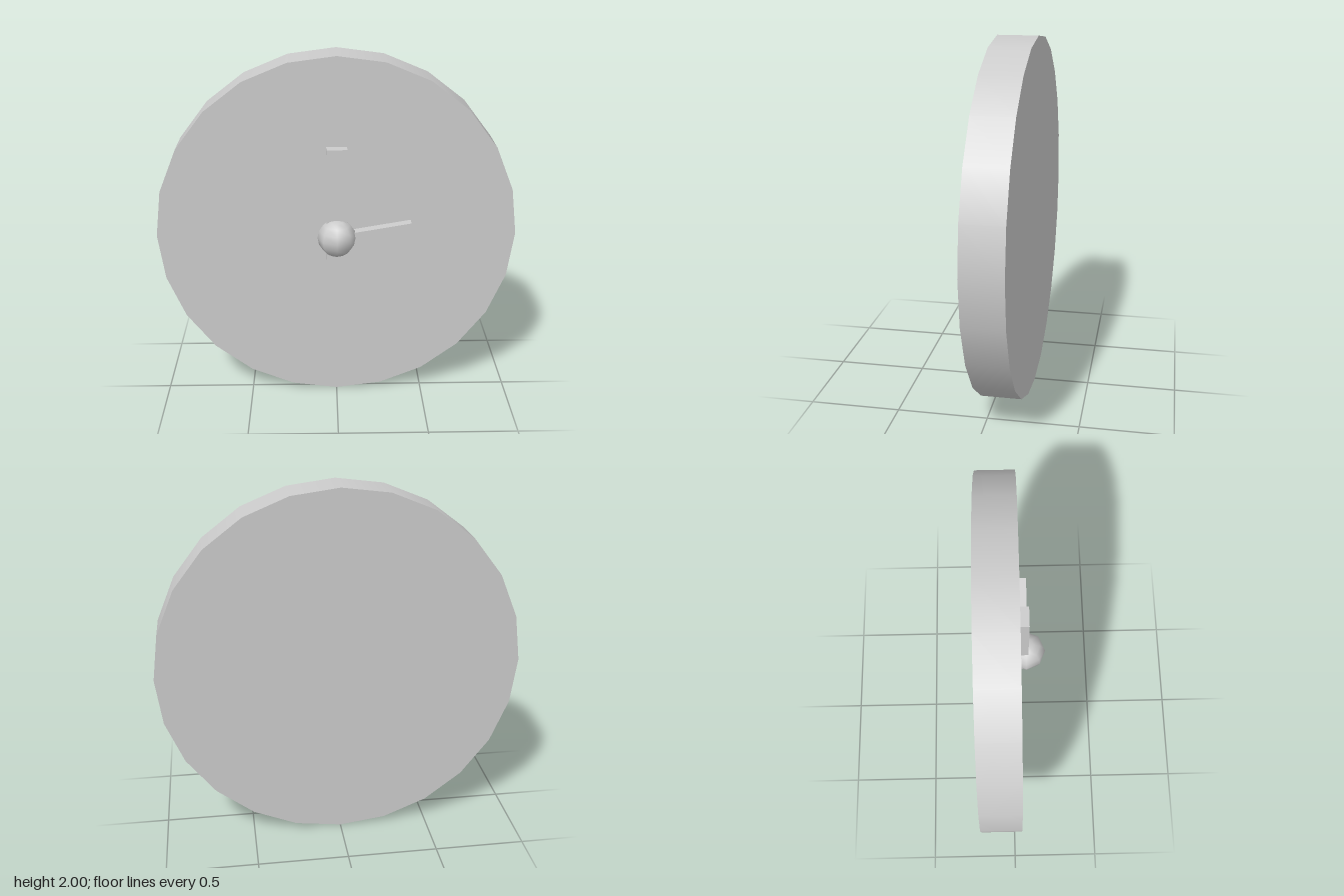
import * as THREE from 'three';

export function createModel() {
  const group = new THREE.Group();
  const material = new THREE.MeshStandardMaterial({ color: 0xcccccc });

  const add = (name, geometry, x, y, z) => {
    const mesh = new THREE.Mesh(geometry, material);
    mesh.name = name;
    mesh.position.set(x, y, z);
    group.add(mesh);
    return mesh;
  };

  // Clock body: a 24-sided disc facing forward
  const disc = new THREE.CylinderGeometry(1, 1, 0.222, 24).rotateX(Math.PI / 2);
  add('clockBody', disc, 0, 1, -0.076);

  // Hands, set slightly into the face
  add('minuteHand', new THREE.BoxGeometry(0.112, 0.66, 0.08), 0, 1.18, 0.05);
  const hourHand = add('hourHand', new THREE.BoxGeometry(0.42, 0.087, 0.08), 0.211, 1.007, 0.0495);
  hourHand.rotation.z = THREE.MathUtils.degToRad(9.7);

  // Centre knob
  add('centreKnob', new THREE.SphereGeometry(0.107, 8, 8), 0, 1, 0.08);

  return group;
}
